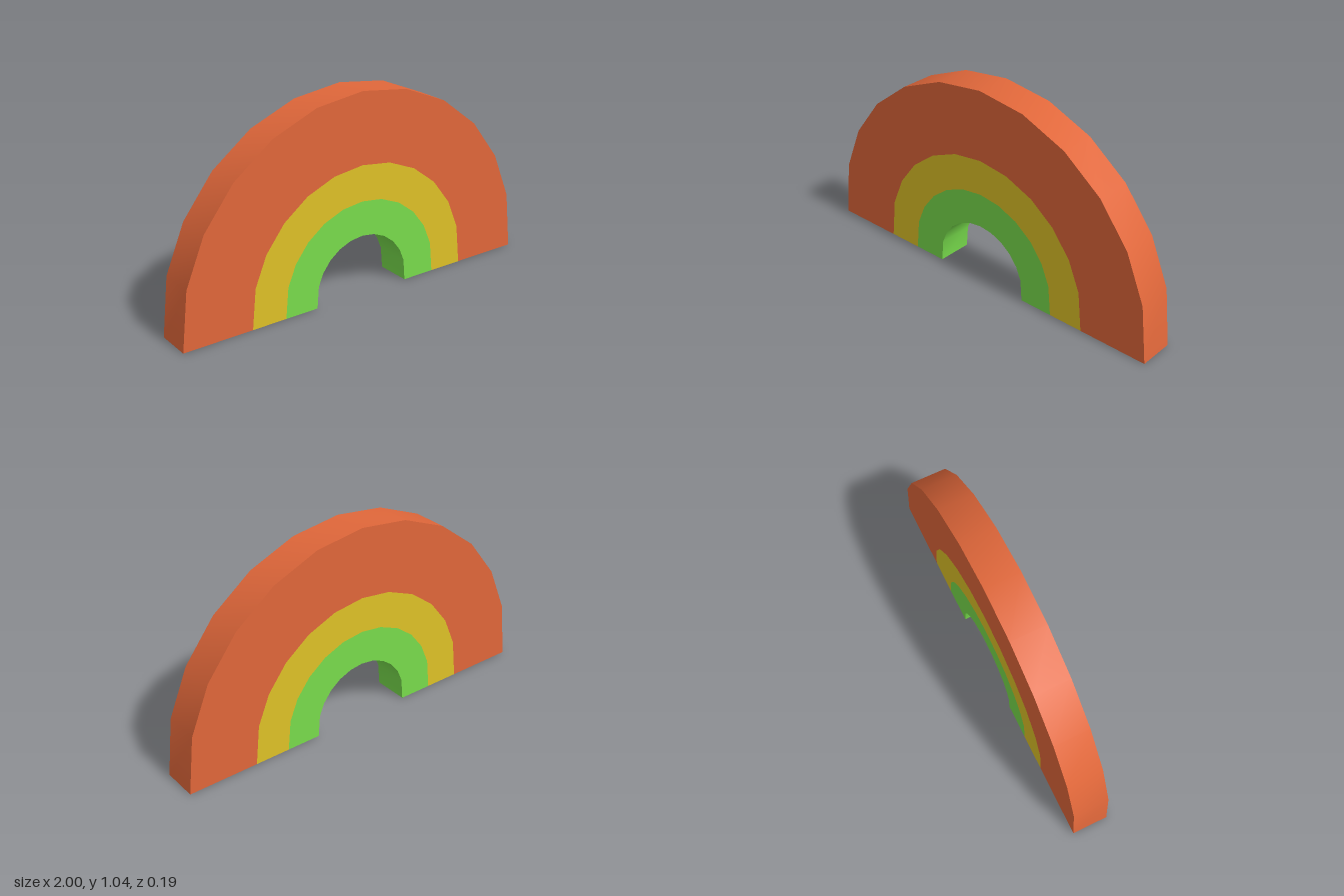
import * as THREE from 'three';
import { toCreasedNormals } from 'three/addons/utils/BufferGeometryUtils.js';

const DEPTH = 0.186;
const CENTRE_Y = 0.043;
const STEPS = 12;

// Half-circle points from right foot to left foot; the feet reach the ground
function arc(radius) {
  const points = [];
  for (let i = 0; i <= STEPS; i++) {
    const a = (Math.PI * i) / STEPS;
    const foot = i === 0 || i === STEPS;
    points.push(new THREE.Vector2(
      radius * Math.cos(a),
      foot ? 0 : CENTRE_Y + radius * Math.sin(a),
    ));
  }
  return points;
}

// One arched band, smooth along the curve and sharp at the edges
function band(name, inner, outer, material) {
  const shape = new THREE.Shape([...arc(outer), ...arc(inner).reverse()]);
  const solid = new THREE.ExtrudeGeometry(shape, { depth: DEPTH, bevelEnabled: false });
  solid.translate(0, 0, -DEPTH / 2);
  const mesh = new THREE.Mesh(toCreasedNormals(solid, Math.PI / 6), material);
  mesh.name = name;
  return mesh;
}

function colour(name, hex) {
  const material = new THREE.MeshStandardMaterial({ color: hex });
  material.name = name;
  return material;
}

export function createModel() {
  const model = new THREE.Group();
  model.name = 'rainbow';
  model.add(
    band('outerBand', 0.635, 1, colour('orange', 0xe0673a)),
    band('middleBand', 0.45, 0.635, colour('yellow', 0xdec127)),
    band('innerBand', 0.27, 0.45, colour('green', 0x78dc4c)),
  );
  return model;
}
